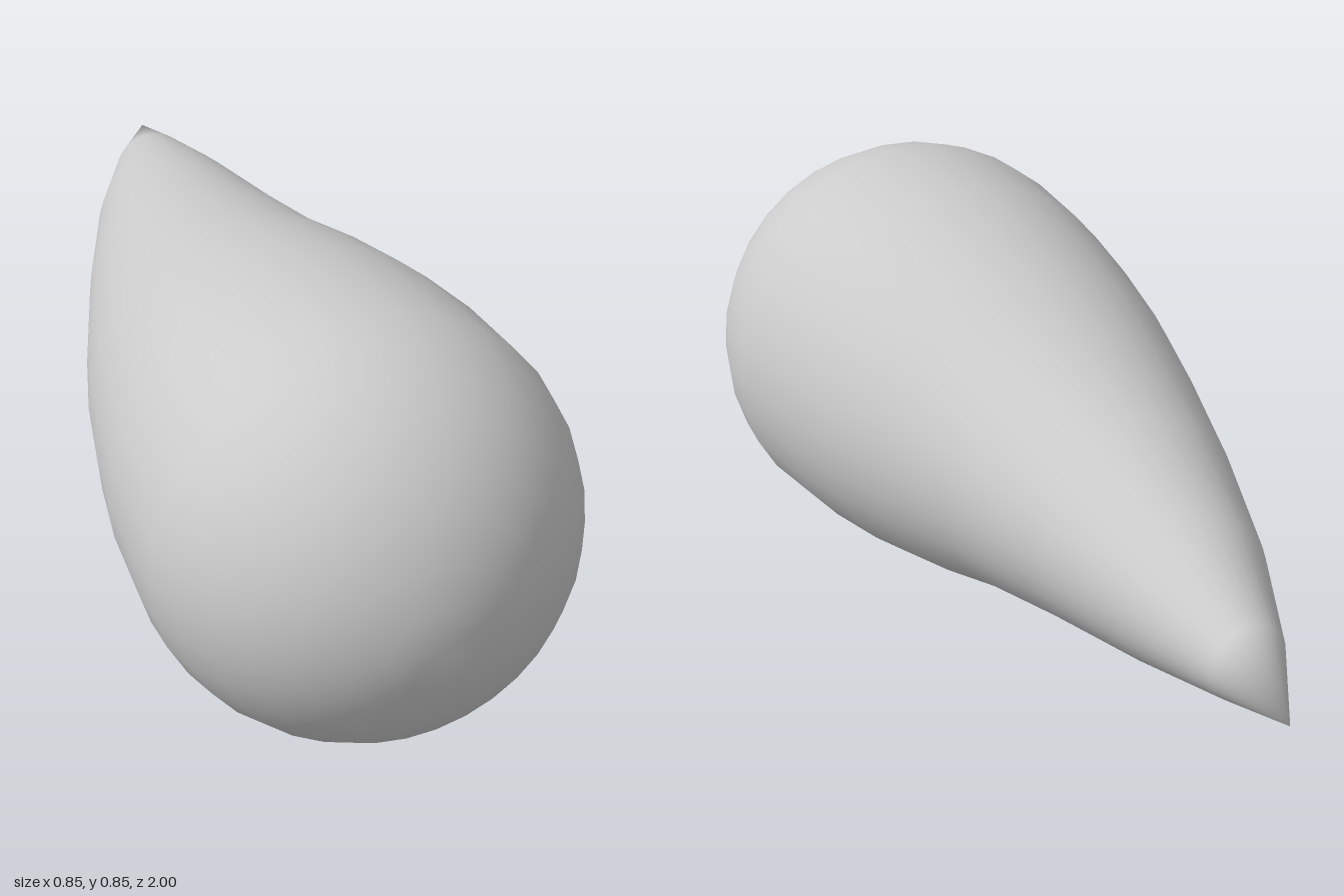
import * as THREE from 'three';
import { mergeVertices } from 'three/addons/utils/BufferGeometryUtils.js';

const R = 0.427, HEAD_Z = 0.573;

// Tail stations from the tip forwards: [z, radius, sideways shift of the centre]
const TAIL = [
  [-1, 0, 0.04],
  [-0.81, 0.08, 0.007],
  [-0.58, 0.16, -0.018],
  [-0.31, 0.235, -0.036],
  [-0.06, 0.303, -0.04],
  [0.1, 0.352, -0.03],
  [0.26, 0.39, -0.018],
  [0.41, 0.415, -0.01],
  [HEAD_Z, R, -0.002],
];

// Sideways shift of the spine at a given z
function spineX(z) {
  for (let i = 1; i < TAIL.length; i++) {
    const [z0, , x0] = TAIL[i - 1], [z1, , x1] = TAIL[i];
    if (z <= z1) return THREE.MathUtils.mapLinear(z, z0, z1, x0, x1);
  }
  return 0;
}

export function createModel() {
  // Profile: tapering tail, then a round hemispherical head
  const profile = TAIL.map(([z, r]) => new THREE.Vector2(r, z));
  for (let i = 1; i <= 8; i++) {
    const a = (i / 8) * Math.PI / 2;
    profile.push(new THREE.Vector2(i === 8 ? 0 : R * Math.cos(a), HEAD_Z + R * Math.sin(a)));
  }

  // Lay the lathe along z and bend its tail sideways
  let geometry = new THREE.LatheGeometry(profile, 32).rotateX(Math.PI / 2);
  const pos = geometry.attributes.position;
  for (let i = 0; i < pos.count; i++) pos.setX(i, pos.getX(i) + spineX(pos.getZ(i)));

  // Weld the seam and poles so the shading stays smooth
  geometry.deleteAttribute('uv');
  geometry.deleteAttribute('normal');
  geometry = mergeVertices(geometry, 1e-5);
  geometry.computeVertexNormals();

  const drop = new THREE.Mesh(geometry, new THREE.MeshStandardMaterial({ color: 0xcccccc }));
  drop.name = 'teardropBody';
  drop.position.y = R;

  const group = new THREE.Group();
  group.name = 'teardrop';
  group.add(drop);
  return group;
}
